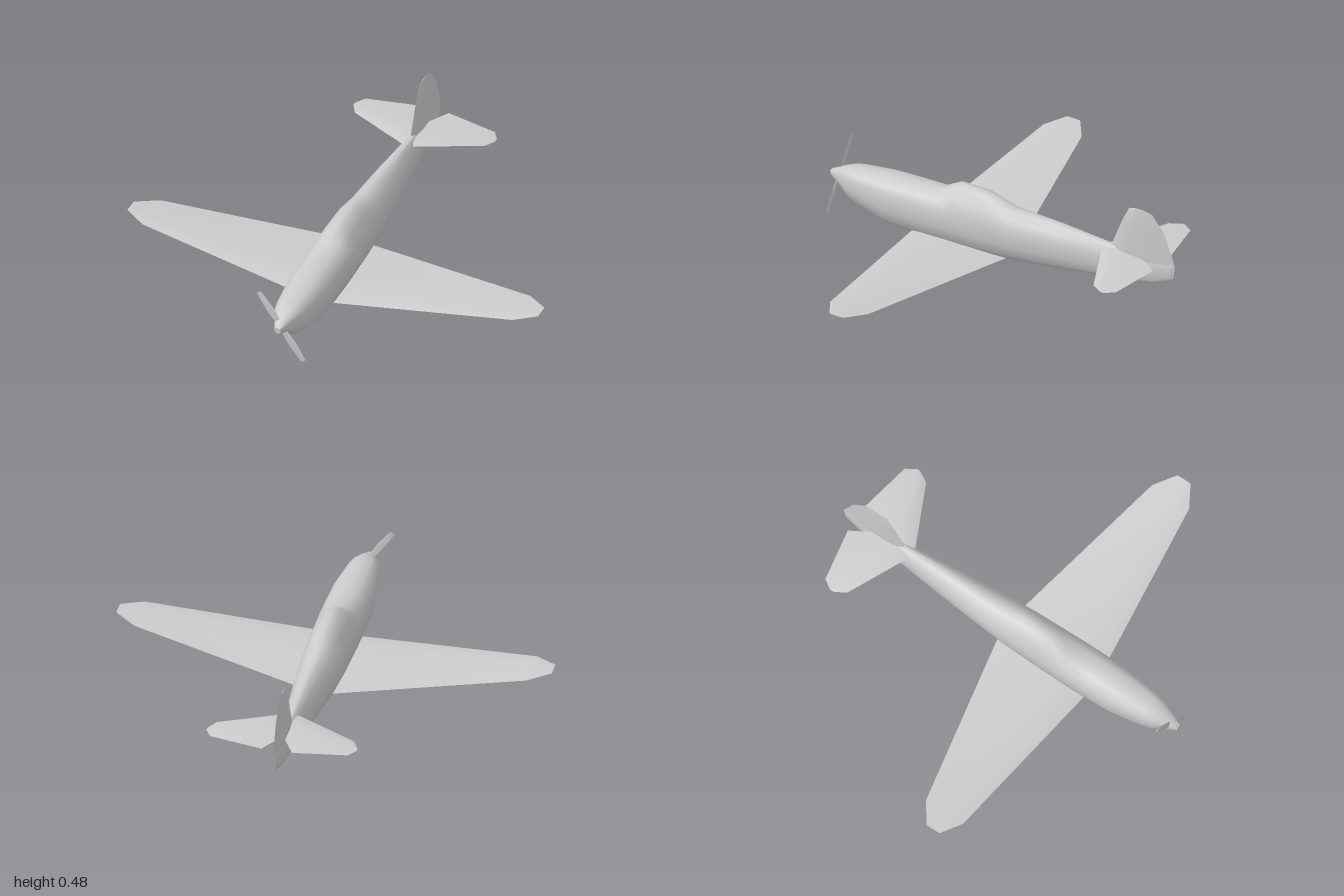
import * as THREE from 'three';
import { toCreasedNormals } from 'three/addons/utils/BufferGeometryUtils.js';

// Skin a list of equal-length rings of [x, y, z] and close both ends.
function loft(rings, crease) {
  const n = rings[0].length, pts = rings.flat(), index = [];
  const last = (rings.length - 1) * n;
  for (let r = 0; r < rings.length - 1; r++) {
    for (let i = 0; i < n; i++) {
      const a = r * n + i, b = r * n + (i + 1) % n;
      index.push(a, b, a + n, b, b + n, a + n);
    }
  }
  for (let i = 1; i < n - 1; i++) {
    index.push(0, i + 1, i, last, last + i, last + i + 1);
  }
  // Turn all faces outward, judged by the signed volume.
  const v = pts.map(p => new THREE.Vector3(...p));
  let volume = 0;
  for (let i = 0; i < index.length; i += 3) {
    volume += v[index[i]].dot(v[index[i + 1]].clone().cross(v[index[i + 2]]));
  }
  if (volume < 0) index.reverse();
  const g = new THREE.BufferGeometry();
  g.setAttribute('position', new THREE.Float32BufferAttribute(pts.flat(), 3));
  g.setIndex(index);
  return toCreasedNormals(g, crease);
}

// Thin airfoil outline: [position along chord 0..1, thickness -0.5..0.5]
const FOIL = [[0, 0], [0.1, 0.34], [0.3, 0.5], [0.6, 0.36], [1, 0],
  [0.6, -0.36], [0.3, -0.5], [0.1, -0.34]];

// Each station: [span, leading edge, trailing edge, thickness, offset]
const foilRings = (stations, place) => stations.map(([s, le, te, t, o = 0]) =>
  FOIL.map(([c, h]) => place(s, le + (te - le) * c, o + h * t)));

// Repeat half-span stations on the other side.
const mirrored = half => [
  ...half.slice(1).reverse().map(([s, ...rest]) => [-s, ...rest]), ...half];

// Fuselage cross-section: flat flanks, rounded belly, tapering crown.
function hullRing([z, w, bottom, shoulder, top, crown]) {
  const h = shoulder - bottom, k = top - shoulder;
  const half = [
    [0.5 * w, bottom + 0.07 * h], [0.86 * w, bottom + 0.25 * h],
    [w, bottom + 0.55 * h], [w, shoulder],
    [(w + crown) * 0.53, shoulder + 0.55 * k], [crown, top - 0.08 * k]];
  return [[0, bottom, z], ...half.map(([x, y]) => [x, y, z]), [0, top, z],
    ...half.reverse().map(([x, y]) => [-x, y, z])];
}

export function createModel() {
  const model = new THREE.Group();
  const material = new THREE.MeshStandardMaterial({ color: 0xcccccc, side: THREE.DoubleSide });
  const add = (name, geometry, parent = model) => {
    const mesh = new THREE.Mesh(geometry, material);
    mesh.name = name;
    parent.add(mesh);
    return mesh;
  };

  // Fuselage with nose cone and raised canopy: z, half width, bottom, shoulder, top, crown half width
  const hull = [
    [0.90, 0.014, 0.158, 0.178, 0.188, 0.008],
    [0.87, 0.028, 0.145, 0.185, 0.202, 0.015],
    [0.83, 0.045, 0.118, 0.195, 0.222, 0.024],
    [0.79, 0.063, 0.085, 0.2, 0.237, 0.032],
    [0.74, 0.073, 0.064, 0.203, 0.246, 0.038],
    [0.59, 0.091, 0.021, 0.206, 0.262, 0.045],
    [0.45, 0.095, 0.018, 0.208, 0.268, 0.045],
    [0.32, 0.095, 0.016, 0.21, 0.273, 0.042],
    [0.23, 0.093, 0.018, 0.212, 0.332, 0.028],
    [0.08, 0.09, 0.024, 0.214, 0.332, 0.028],
    [-0.06, 0.084, 0.034, 0.214, 0.29, 0.026],
    [-0.30, 0.064, 0.061, 0.216, 0.286, 0.018],
    [-0.56, 0.038, 0.095, 0.218, 0.27, 0.010],
    [-0.78, 0.016, 0.126, 0.22, 0.262, 0.005],
    [-0.885, 0.004, 0.178, 0.23, 0.255, 0.002]];
  add('fuselage', loft(hull.map(hullRing), 1.0));

  // Main wing with dihedral, one piece from tip to tip
  const wing = mirrored([
    [0, 0.45, -0.045, 0.042, 0.037],
    [0.9, 0.35, 0.15, 0.01, 0.132],
    [1, 0.29, 0.22, 0.003, 0.142]]);
  add('wing', loft(foilRings(wing, (s, c, h) => [s, h, c]), 0.7));

  // Tailplane, notched at the root for the rudder
  const tail = mirrored([
    [0, -0.52, -0.71, 0.022, 0.246],
    [0.07, -0.553, -0.83, 0.02, 0.246],
    [0.315, -0.668, -0.785, 0.008, 0.243],
    [0.345, -0.72, -0.74, 0.003, 0.242]]);
  add('tailplane', loft(foilRings(tail, (s, c, h) => [s, h, c]), 0.7));

  // Fin and rudder, stacked upward
  const fin = [
    [0.128, -0.72, -0.785, 0.02],
    [0.185, -0.6, -0.89, 0.032],
    [0.25, -0.56, -0.9, 0.038],
    [0.27, -0.57, -0.893, 0.036],
    [0.4, -0.62, -0.845, 0.018],
    [0.483, -0.66, -0.78, 0.006],
    [0.49, -0.69, -0.75, 0.003]];
  add('fin', loft(foilRings(fin, (s, c, h) => [h, s, c]), 0.7));

  // Two-bladed propeller
  const propeller = new THREE.Group();
  propeller.name = 'propeller';
  propeller.position.set(0, 0.171, 0.86);
  const blade = [
    [0, -0.01, 0.01, 0.01],
    [0.05, -0.017, 0.017, 0.009],
    [0.1, -0.02, 0.02, 0.007],
    [0.17, -0.015, 0.015, 0.005],
    [0.192, -0.012, 0.012, 0.003]];
  const bladeGeometry = loft(foilRings(blade, (s, c, h) => [c, s, h]), 0.7);
  for (let i = 0; i < 2; i++) {
    add('propellerBlade', bladeGeometry, propeller).rotation.z = 0.6 + i * Math.PI;
  }
  model.add(propeller);
  return model;
}
